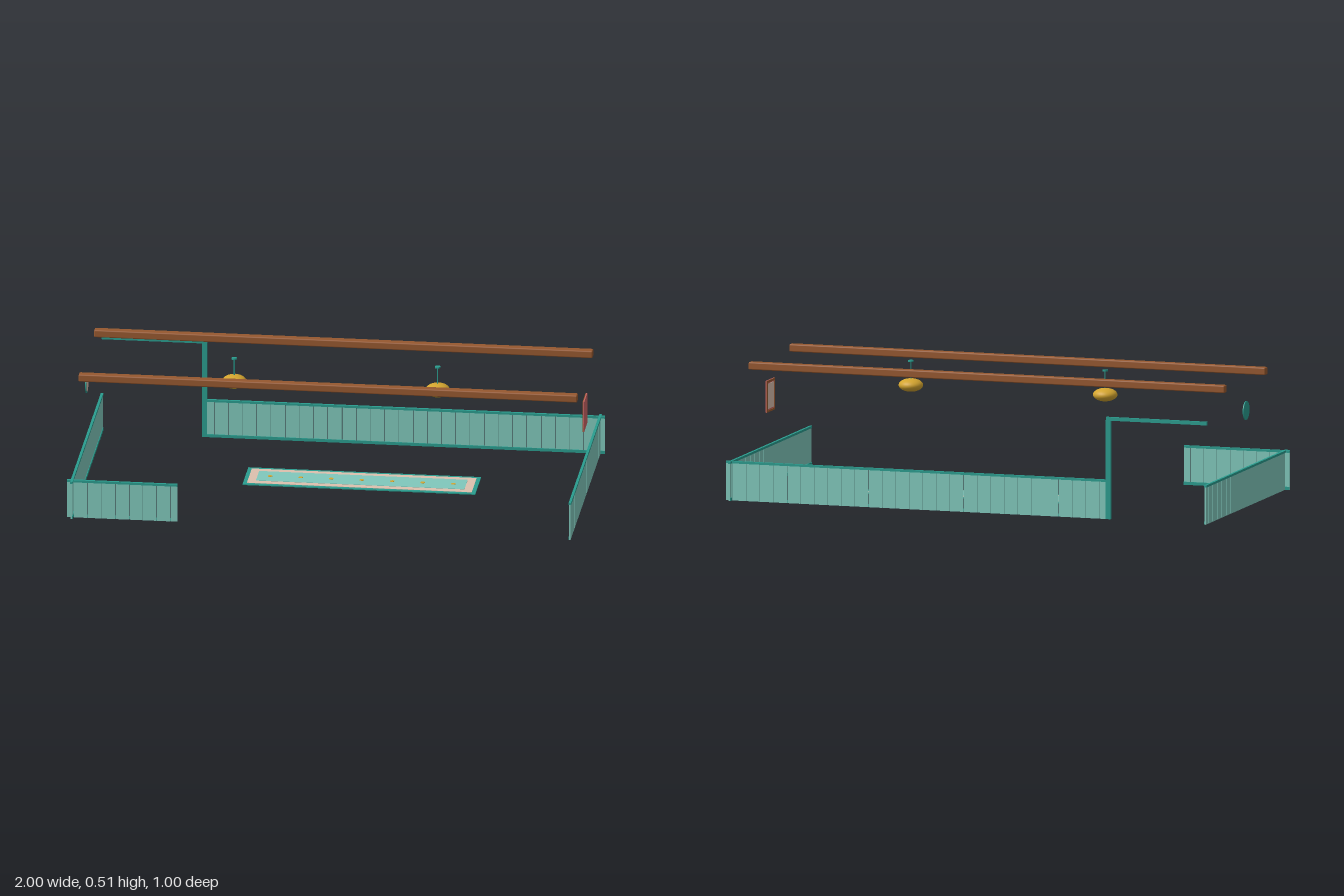
import * as THREE from 'three';
import { RoundedBoxGeometry } from 'three/addons/geometries/RoundedBoxGeometry.js';

const mat = (name, color) => {
  const m = new THREE.MeshStandardMaterial({ color });
  m.name = name;
  return m;
};

export function createModel() {
  const M = {
    teal: mat('teal trim', 0x2a9d8f),
    mint: mat('mint panel', 0x80c8bc),
    wood: mat('brown wood', 0x96582f),
    gold: mat('gold', 0xd4a52f),
    red: mat('red board', 0xc96464),
    cream: mat('cream', 0xdcc0ae),
  };
  const root = new THREE.Group();
  const add = (parent, name, geo, material, x = 0, y = 0, z = 0) => {
    const mesh = new THREE.Mesh(geo, material);
    mesh.name = name;
    mesh.position.set(x, y, z);
    parent.add(mesh);
    return mesh;
  };
  const box = (w, h, d) => new THREE.BoxGeometry(w, h, d);
  const group = (name) => {
    const g = new THREE.Group();
    g.name = name;
    root.add(g);
    return g;
  };

  // Wainscot: slats with narrow gaps, cap rail and inner skirting (local +z faces the room)
  const wainscot = (name, length, count, x, z, turn) => {
    const g = group(name);
    const pitch = length / count, gap = 0.002;
    for (let i = 0; i <= count; i++) {
      const c = -length / 2 + i * pitch;
      const a = Math.max(c - pitch / 2 + gap / 2, -length / 2);
      const b = Math.min(c + pitch / 2 - gap / 2, length / 2);
      add(g, 'slat', box(b - a, 0.147, 0.005), M.mint, (a + b) / 2, 0.0735, 0);
    }
    add(g, 'capRail', box(length, 0.009, 0.01), M.teal, 0, 0.151, 0);
    add(g, 'skirting', box(length, 0.012, 0.003), M.teal, 0, 0.006, 0.004);
    g.position.set(x, 0, z);
    g.rotation.y = turn;
  };
  wainscot('backWainscot', 1.565, 28, 0.2175, -0.478, 0);
  wainscot('frontWainscot', 0.435, 8, -0.7825, 0.477, Math.PI);
  wainscot('leftWainscot', 1, 18, 0.98, 0, -Math.PI / 2);
  wainscot('rightWainscot', 1, 18, -0.98, 0, Math.PI / 2);

  // Door frame at the gap in the back wall
  const door = group('doorFrame');
  add(door, 'doorPost', box(0.02, 0.39, 0.01), M.teal, -0.574, 0.195, -0.478);
  add(door, 'doorLintel', box(0.415, 0.014, 0.01), M.teal, -0.7725, 0.396, -0.478);

  // Ceiling beams
  for (const z of [-0.25, 0.25])
    add(root, 'ceilingBeam', new RoundedBoxGeometry(1.96, 0.03, 0.033, 3, 0.005), M.wood, 0, 0.5, z);

  // Pendant lamps
  for (const x of [-0.4, 0.4]) {
    const lamp = group('pendantLamp');
    lamp.position.x = x;
    add(lamp, 'shade', new THREE.SphereGeometry(0.048, 32, 20), M.gold, 0, 0.415, 0).scale.y = 0.54;
    add(lamp, 'cord', new THREE.CylinderGeometry(0.002, 0.002, 0.075, 8), M.teal, 0, 0.474, 0);
    add(lamp, 'ceilingRose', new THREE.CylinderGeometry(0.011, 0.011, 0.006, 20), M.teal, 0, 0.51, 0);
  }

  // Rug in stacked layers with a row of studs
  const rug = group('rug');
  rug.position.set(0.095, 0, -0.053);
  add(rug, 'rugBorder', box(0.915, 0.004, 0.19), M.teal, 0, 0.002, 0);
  add(rug, 'rugBand', box(0.884, 0.0015, 0.16), M.cream, 0, 0.0043, 0);
  add(rug, 'rugField', box(0.82, 0.0015, 0.106), M.mint, 0, 0.0055, 0);
  for (let i = -3; i <= 3; i++)
    add(rug, 'rugDot', new THREE.CylinderGeometry(0.009, 0.009, 0.0015, 12), M.gold, i * 0.12, 0.0068, 0);

  // Round mirror on the right wall
  const mirror = group('roundMirror');
  mirror.position.set(-0.98, 0.38, 0);
  mirror.rotation.z = -Math.PI / 2;
  add(mirror, 'mirrorBack', new THREE.CylinderGeometry(0.037, 0.037, 0.004, 32), M.teal);
  add(mirror, 'mirrorGlass', new THREE.CylinderGeometry(0.031, 0.031, 0.002, 32), M.cream, 0, 0.0025, 0);

  // Picture on the left wall, facing the room
  const picture = group('picture');
  picture.position.set(0.98, 0.347, 0);
  add(picture, 'pictureBoard', box(0.004, 0.125, 0.098), M.red);
  add(picture, 'pictureFace', box(0.002, 0.1, 0.074), M.cream, -0.0025, 0, 0);
  for (const s of [-1, 1]) {
    add(picture, 'frameSide', box(0.003, 0.125, 0.008), M.wood, -0.003, 0, s * 0.045);
    add(picture, 'frameEdge', box(0.003, 0.008, 0.082), M.wood, -0.003, s * 0.0585, 0);
  }
  return root;
}
